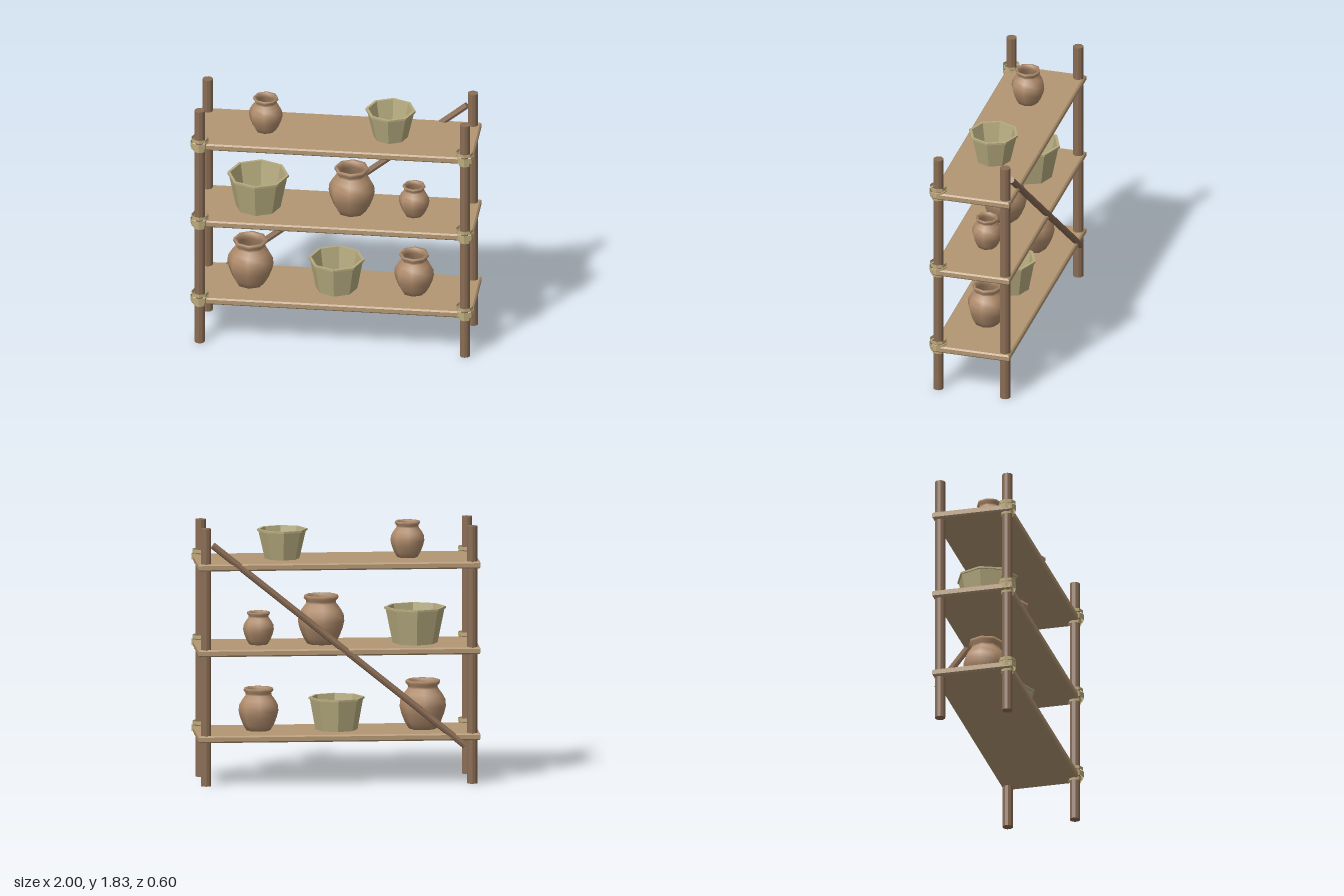
import * as THREE from 'three';

const mat = (name, color, side = THREE.FrontSide) => {
  const m = new THREE.MeshStandardMaterial({ color, side });
  m.name = name;
  return m;
};

// Split vertices so every facet is shaded flat
const flat = (geo) => {
  const g = geo.toNonIndexed();
  g.computeVertexNormals();
  return g;
};

const lathe = (pts, sides) =>
  new THREE.LatheGeometry(pts.map(([r, y]) => new THREE.Vector2(r, y)), sides);

export function createModel() {
  const group = new THREE.Group();
  group.name = 'storageRack';

  const darkWood = mat('dark wood', 0x8a6d55);
  const plankWood = mat('plank wood', 0xb39673);
  const clay = mat('clay', 0xb08c6c, THREE.DoubleSide);
  const wicker = mat('pale wicker', 0xb5aa7e, THREE.DoubleSide);
  const rope = mat('rope', 0xbcab7c, THREE.DoubleSide);

  const add = (name, geo, material, x, y, z, parent = group) => {
    const mesh = new THREE.Mesh(geo, material);
    mesh.name = name;
    mesh.position.set(x, y, z);
    parent.add(mesh);
    return mesh;
  };

  const postX = 0.935, frontZ = 0.239, backZ = -0.247;
  const shelfTops = [0.357, 0.965, 1.571];
  const thickness = 0.049;

  // Four round posts
  const postGeo = flat(new THREE.CylinderGeometry(0.037, 0.037, 1.82, 10));
  for (const x of [-postX, postX]) {
    add('frontPost', postGeo, darkWood, x, 0.91, frontZ);
    add('backPost', postGeo, darkWood, x, 0.91, backZ);
  }

  // Shelves with chamfered edges
  const bevel = 0.01, hw = 0.99 - bevel, hd = 0.281 - bevel;
  const outline = new THREE.Shape([
    new THREE.Vector2(-hw, -hd), new THREE.Vector2(hw, -hd),
    new THREE.Vector2(hw, hd), new THREE.Vector2(-hw, hd),
  ]);
  const shelfGeo = new THREE.ExtrudeGeometry(outline, {
    depth: thickness - 2 * bevel, bevelEnabled: true, bevelSegments: 1,
    bevelSize: bevel, bevelThickness: bevel,
  });
  shelfGeo.center();
  shelfGeo.rotateX(-Math.PI / 2);
  for (const top of shelfTops) {
    add('shelf', shelfGeo, plankWood, 0, top - thickness / 2, -0.009);
  }

  // Rope lashings on the front posts: [radius, height, offset from shelf top, sideways shift]
  const bands = [
    [0.06, 0.024, 0.026, 0.002],
    [0.063, 0.042, -0.014, -0.002],
    [0.046, 0.03, -0.05, 0],
  ];
  for (const top of shelfTops) {
    for (const side of [-1, 1]) {
      const lashing = new THREE.Group();
      lashing.name = 'ropeLashing';
      lashing.position.set(side * postX, top, frontZ);
      for (const [r, h, y, dx] of bands) {
        add('ropeBand', flat(new THREE.CylinderGeometry(r, r, h, 8, 1, true)), rope, -side * dx, y, 0, lashing);
      }
      group.add(lashing);
    }
  }

  // Diagonal brace across the back
  const low = new THREE.Vector3(-0.882, 0.272, -0.277);
  const high = new THREE.Vector3(0.89, 1.705, -0.277);
  const dir = high.clone().sub(low);
  const mid = low.clone().add(high).multiplyScalar(0.5);
  const brace = add('diagonalBrace', flat(new THREE.CylinderGeometry(0.024, 0.024, dir.length(), 8)),
    darkWood, mid.x, mid.y, mid.z);
  brace.quaternion.setFromUnitVectors(new THREE.Vector3(0, 1, 0), dir.normalize());

  // Clay pots: [x, shelf, greatest radius, height]
  const potProfile = [
    [0.02, 0.01], [0.6, 0], [0.78, 0.14], [0.93, 0.32], [1, 0.46], [0.97, 0.6],
    [0.83, 0.72], [0.65, 0.83], [0.64, 0.88], [0.75, 0.94], [0.73, 1],
    [0.6, 0.99], [0.55, 0.87], [0.78, 0.68], [0.9, 0.46], [0.6, 0.06], [0.02, 0.05],
  ];
  const pots = [
    [-0.606, 0, 0.163, 0.345], [0.548, 0, 0.14, 0.3],
    [0.108, 1, 0.163, 0.345], [0.548, 1, 0.108, 0.23],
    [-0.498, 2, 0.119, 0.255],
  ];
  for (const [x, s, r, h] of pots) {
    const geo = lathe(potProfile.map(([pr, py]) => [pr * r, py * h]), 8);
    add('clayPot', geo, clay, x, shelfTops[s], -0.005);
  }

  // Eight-sided tapered baskets: [x, shelf, base radius, rim radius, height]
  const baskets = [
    [0, 0, 0.148, 0.197, 0.23],
    [-0.552, 1, 0.158, 0.217, 0.255],
    [0.382, 2, 0.122, 0.177, 0.21],
  ];
  for (const [x, s, rb, rt, h] of baskets) {
    const basket = new THREE.Group();
    basket.name = 'basket';
    basket.position.set(x, shelfTops[s], -0.005);
    const wall = lathe([
      [rb, 0], [rt - 0.01, h - 0.014], [rt, h - 0.014], [rt, h],
      [rt - 0.02, h], [rb - 0.008, 0.012],
    ], 8);
    add('basketWall', flat(wall), wicker, 0, 0, 0, basket);
    const floor = new THREE.CylinderGeometry(rb - 0.004, rb - 0.004, 0.008, 8);
    add('basketFloor', flat(floor), darkWood, 0, 0.01, 0, basket);
    group.add(basket);
  }

  return group;
}
